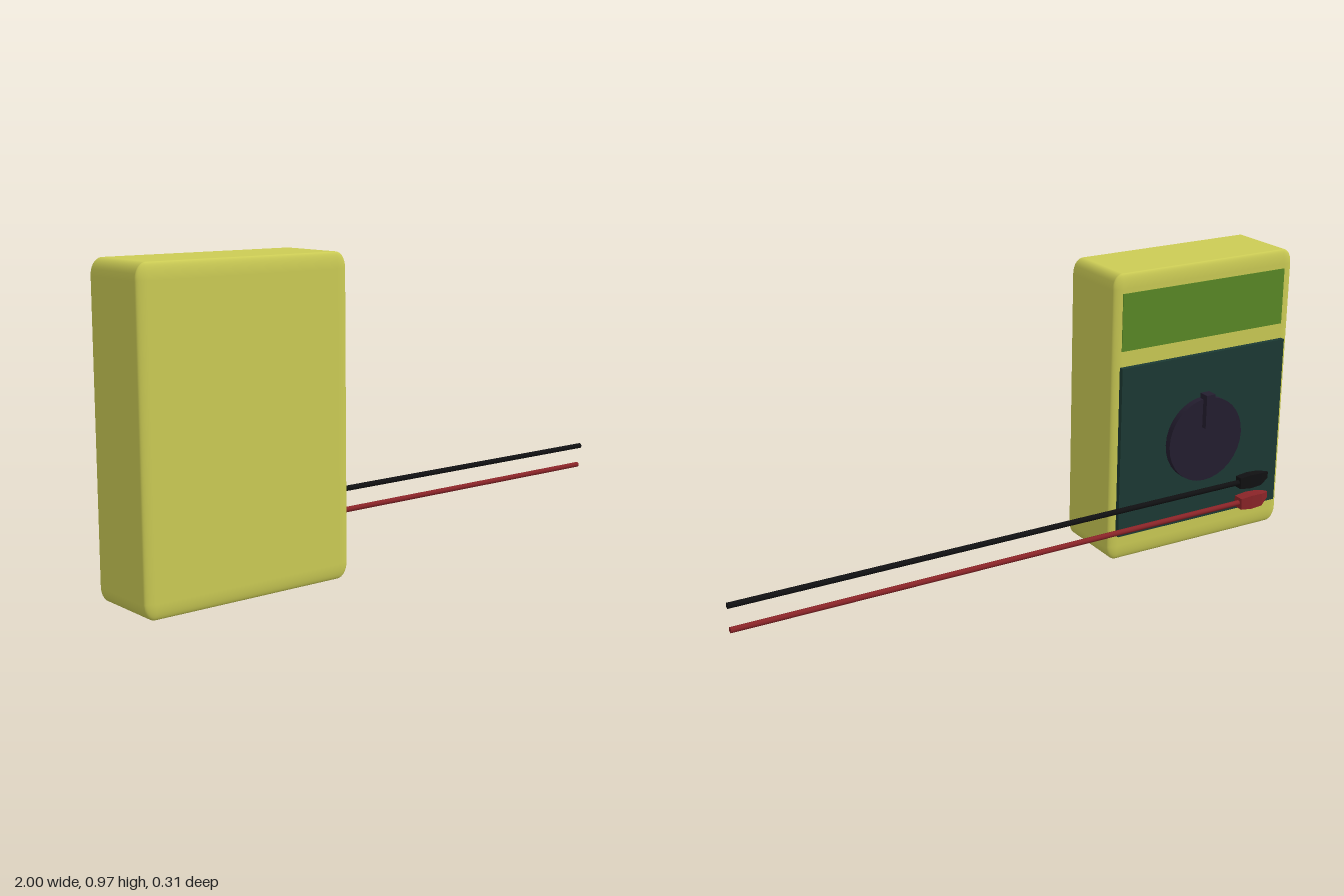
import * as THREE from 'three';
import { RoundedBoxGeometry } from 'three/addons/geometries/RoundedBoxGeometry.js';

const CX = -0.653; // centre line of the meter case

function paint(color) {
  return new THREE.MeshStandardMaterial({ color });
}

function part(name, geometry, material, x, y, z) {
  const mesh = new THREE.Mesh(geometry, material);
  mesh.name = name;
  mesh.position.set(x, y, z);
  return mesh;
}

// Wedge plug: tall blunt end at +x, sloping and narrowing towards -x
function plugGeometry(length, width, height) {
  const g = new THREE.BoxGeometry(length, width, height, 3, 1, 1).toNonIndexed();
  const p = g.attributes.position;
  const rise = [0.3, 0.95, 1, 0.95];
  const spread = [0.45, 0.9, 1, 0.8];
  for (let i = 0; i < p.count; i++) {
    const k = Math.round((p.getX(i) / length + 0.5) * 3);
    p.setY(i, p.getY(i) * spread[k]);
    // the base stays on the panel, the outer side (-z) follows the slope
    if (p.getZ(i) < 0) p.setZ(i, height / 2 - height * rise[k]);
  }
  g.computeVertexNormals();
  return g;
}

// Test lead: plug on the panel and a straight cable running out to +x
function testLead(name, color, y, plugHeight, zStart, zEnd) {
  const lead = new THREE.Group();
  lead.name = name;
  const material = paint(color);
  lead.add(part('plug', plugGeometry(0.13, 0.048, plugHeight), material,
    -0.87, y, -0.112 - plugHeight / 2));
  const path = new THREE.LineCurve3(
    new THREE.Vector3(-0.84, y, zStart), new THREE.Vector3(1, y, zEnd));
  lead.add(part('cable', new THREE.TubeGeometry(path, 1, 0.009, 12), material, 0, 0, 0));
  const cap = part('cableEnd', new THREE.CircleGeometry(0.009, 12), material, 1, y, zEnd);
  cap.rotation.y = Math.PI / 2;
  lead.add(cap);
  return lead;
}

export function createModel() {
  const model = new THREE.Group();
  model.name = 'multimeter';

  // Case: a rounded cube stretched so its edge rounding stretches too
  const caseGeometry = new RoundedBoxGeometry(1, 1, 1, 5, 0.05);
  caseGeometry.scale(0.695, 0.968, 0.252);
  model.add(part('case', caseGeometry, paint(0xcccc55), CX, 0.484, 0.029));

  // Display and control panel on the back side
  model.add(part('display', new THREE.BoxGeometry(0.63, 0.187, 0.01), paint(0x5a8a26),
    CX, 0.812, -0.094));
  model.add(part('controlPanel', new THREE.BoxGeometry(0.64, 0.578, 0.03), paint(0x1c3a34),
    CX, 0.378, -0.098));

  // Selector dial with its raised grip
  const dial = new THREE.Group();
  dial.name = 'selectorDial';
  const dialPaint = paint(0x241e30);
  const disc = part('disc', new THREE.CylinderGeometry(0.144, 0.144, 0.026, 32), dialPaint,
    CX, 0.378, -0.122);
  disc.rotation.x = Math.PI / 2;
  dial.add(disc);
  dial.add(part('grip', new THREE.BoxGeometry(0.034, 0.114, 0.036), dialPaint,
    CX, 0.481, -0.136));
  model.add(dial);

  // Test leads
  model.add(testLead('blackLead', 0x101012, 0.19, 0.031, -0.127, -0.132));
  model.add(testLead('redLead', 0x8a2428, 0.118, 0.041, -0.133, -0.144));
  return model;
}
